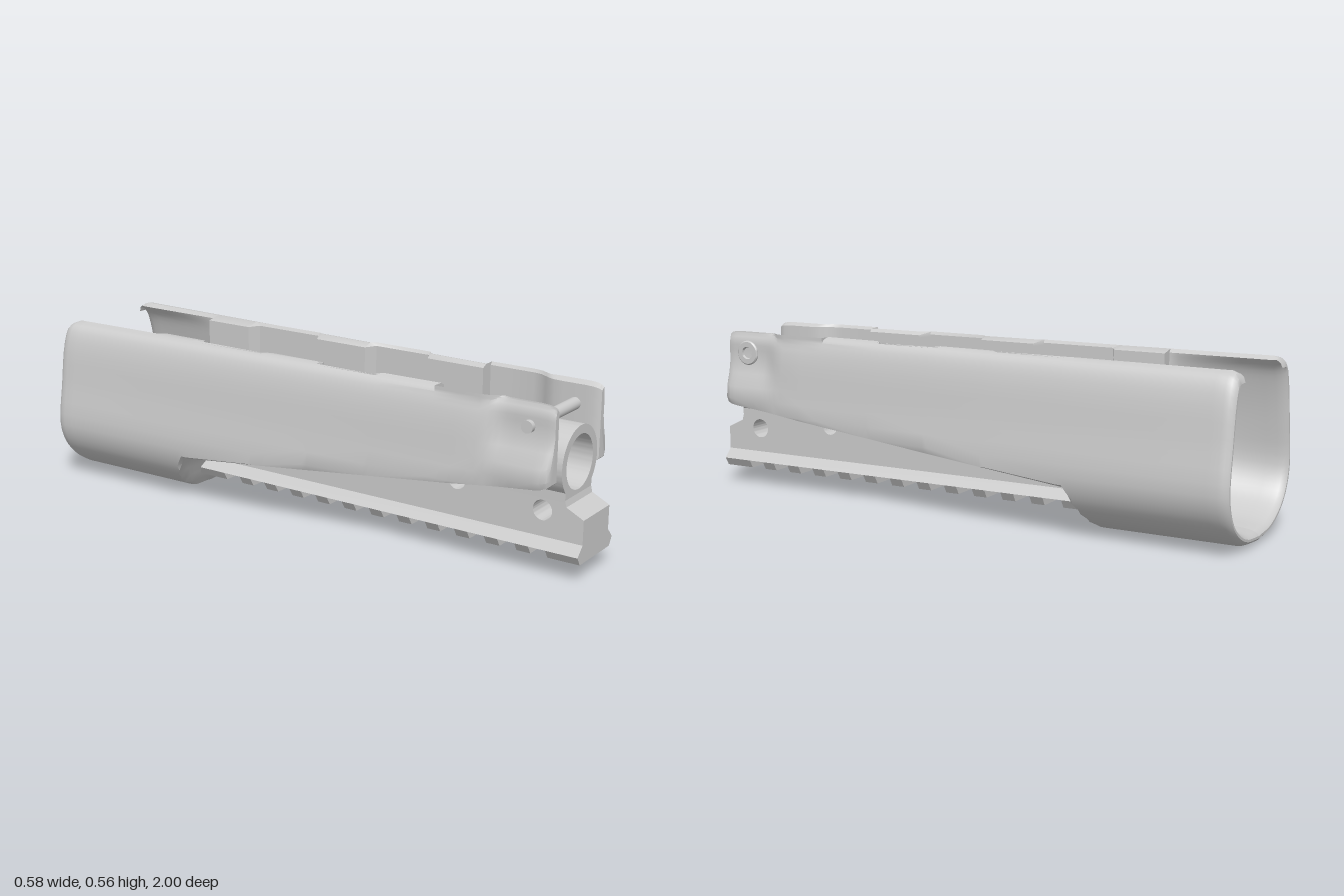
import * as THREE from 'three';
import { toCreasedNormals } from 'three/addons/utils/BufferGeometryUtils.js';

const N = 29, H = 14, TOP = 0.565;
const mat = new THREE.MeshStandardMaterial({ color: 0xcccccc, roughness: 0.7 });
const { lerp, smoothstep, clamp } = THREE.MathUtils;

const spline = (pts) => new THREE.CatmullRomCurve3(
  pts.map(([x, y]) => new THREE.Vector3(x, y, 0))).getPoints(N - 1);

// Half profiles, running from the top rim down to the centre line
const outerCurve = spline([[0.18, TOP], [0.222, 0.552], [0.249, 0.5], [0.272, 0.35],
  [0.291, 0.2], [0.265, 0.12], [0.21, 0.06], [0.12, 0.015], [0, 0]]);
const rearCavity = spline([[0.16, 0.553], [0.19, 0.52], [0.212, 0.46], [0.238, 0.33],
  [0.25, 0.2], [0.225, 0.13], [0.18, 0.085], [0.1, 0.05], [0, 0.04]]);
const deepCavity = spline([[0.16, 0.553], [0.16, 0.51], [0.165, 0.45], [0.18, 0.35],
  [0.172, 0.25], [0.145, 0.19], [0.1, 0.14], [0.05, 0.115], [0, 0.11]]);

// Height of the lower edge: a long slope, then a drop to the rear cuff
function lowerEdge(z) {
  if (z >= -0.44) return 0.165 + (z + 0.44) / 1.37 * 0.145;
  return 0.165 * (1 - smoothstep(-z, 0.43, 0.53));
}

// Closed half section: outer side going down, inner side coming back up
function section([z, kind, xi, pinch = 0]) {
  const s = 1 - 0.26 * (z + 1) / 1.75, yb = lowerEdge(z);
  const ear = smoothstep(z, 0.68, 0.78);
  const width = (p) => {
    const earX = 0.165 + 0.04 * (1 - smoothstep(p.y, 0.35, 0.46)) - 0.012 * smoothstep(p.y, 0.53, TOP);
    return lerp(p.x * s, earX, ear);
  };
  const edge = outerCurve.find((p) => p.y <= yb + 1e-6) || outerCurve[N - 1];
  const edgeX = width(edge);
  const outer = outerCurve.map((p, i) => {
    let x = width(p);
    if (p.y < yb) x = Math.min(p.x * s, edgeX) - 0.008;
    if (kind === 'ear') x = Math.max(x, xi);
    if (i < H) x = Math.max(x, xi + 0.008);
    return new THREE.Vector2(x, Math.max(p.y, yb));
  });
  const t = Math.sqrt(clamp((-0.62 - z) / 0.36, 0, 1));
  const inner = outer.map((_, i) => {
    if (kind === 'cuff') {
      const a = deepCavity[i], b = rearCavity[i];
      return new THREE.Vector2(lerp(a.x, b.x, t), lerp(a.y, b.y, t));
    }
    if (i <= H) return new THREE.Vector2(xi, lerp(0.555, 0.44, i / H));
    const u = (i - H) / (N - 1 - H);
    return kind === 'ear' ? new THREE.Vector2(xi, lerp(0.44, yb, u))
      : new THREE.Vector2(xi * (1 - u), 0.44);
  });
  // Rounded ends
  if (pinch) {
    outer.forEach((o, i) => {
      const n = inner[i];
      if (kind === 'cuff') {
        const m = o.clone().lerp(n, 0.5);
        o.lerp(m, pinch); n.lerp(m, pinch);
        const cap = TOP - 0.045 * pinch;
        o.y = Math.min(o.y, cap); n.y = Math.min(n.y, cap);
      } else {
        for (const p of [o, n]) {
          p.x = lerp(p.x, 0.155, pinch);
          p.y = lerp(p.y, 0.43, pinch * 0.22);
        }
      }
    });
  }
  return [...outer, ...inner.reverse()].map((p) => new THREE.Vector3(p.x, p.y, z));
}

function loftHalf(stations, side) {
  const rings = stations.map(section), pos = [], n = 2 * N;
  const ab = new THREE.Vector3(), ac = new THREE.Vector3();
  const tri = (a, b, c) => {
    if (ab.subVectors(b, a).cross(ac.subVectors(c, a)).length() < 1e-9) return;
    for (const p of side > 0 ? [a, b, c] : [a, c, b]) pos.push(side * p.x, p.y, p.z);
  };
  const quad = (a, b, c, d) => { tri(a, b, c); tri(a, c, d); };
  for (let j = 0; j < rings.length - 1; j++) {
    const A = rings[j], B = rings[j + 1];
    for (let i = 0; i < n; i++) {
      const k = (i + 1) % n;
      quad(A[i], A[k], B[k], B[i]);
    }
  }
  const F = rings[0], R = rings[rings.length - 1];
  for (let i = 0; i < N - 1; i++) {
    quad(F[i], F[n - 1 - i], F[n - 2 - i], F[i + 1]);
    quad(R[i], R[i + 1], R[n - 2 - i], R[n - 1 - i]);
  }
  const g = new THREE.BufferGeometry();
  g.setAttribute('position', new THREE.Float32BufferAttribute(pos, 3));
  return toCreasedNormals(g, 0.6);
}

const polygon = (pts) => new THREE.Shape(pts.map(([x, y]) => new THREE.Vector2(x, y)));
const hole = (x, y, r) => new THREE.Path().absarc(x, y, r, 0, Math.PI * 2, true);

// Extrude a front-facing shape from z0 to z1
function alongZ(shape, z0, z1) {
  const g = new THREE.ExtrudeGeometry(shape, { depth: z1 - z0, bevelEnabled: false, curveSegments: 40 });
  return toCreasedNormals(g.translate(0, 0, z0), 0.5);
}

export function createModel() {
  const model = new THREE.Group();
  const add = (name, geo, parent = model) => {
    const m = new THREE.Mesh(geo, mat);
    m.name = name;
    parent.add(m);
    return m;
  };

  // Shell: front ears, channel with two pockets per side, hollow rear cuff
  const stations = [[0.93, 'ear', 0.13, 0.45], [0.922, 'ear', 0.13, 0.2], [0.905, 'ear', 0.13, 0.05],
    [0.88, 'ear', 0.13], [0.8, 'ear', 0.13], [0.77, 'ear', 0.132], [0.75, 'ear', 0.138],
    [0.73, 'ear', 0.15], [0.71, 'ear', 0.162], [0.68, 'ear', 0.168], [0.6, 'ear', 0.168],
    [0.52, 'ear', 0.168], [0.52, 'mid', 0.12]];
  for (const [a, b] of [[0.31, 0.06], [-0.14, -0.44]])
    stations.push([a, 'mid', 0.12], [a - 0.02, 'mid', 0.16], [b + 0.02, 'mid', 0.16], [b, 'mid', 0.12]);
  for (const z of [-0.455, -0.47, -0.485, -0.5, -0.515, -0.53, -0.62]) stations.push([z, 'mid', 0.12]);
  for (const z of [-0.62, -0.63, -0.65, -0.7, -0.78, -0.86, -0.93, -0.965]) stations.push([z, 'cuff', 0.15]);
  stations.push([-0.982, 'cuff', 0.15, 0.15], [-0.994, 'cuff', 0.15, 0.45], [-1, 'cuff', 0.15, 0.8]);
  add('leftShell', loftHalf(stations, 1));
  add('rightShell', loftHalf(stations, -1));

  // Barrel ring joined to the rail web
  const ring = new THREE.Shape();
  ring.moveTo(-0.087, 0.245);
  ring.lineTo(0.087, 0.245);
  ring.absarc(0, 0.352, 0.117, -0.731, Math.PI + 0.731, false);
  ring.closePath();
  ring.holes.push(hole(0, 0.352, 0.088));
  add('barrelRing', alongZ(ring, 0.585, 0.935));
  const collar = new THREE.Shape().absarc(0, 0.352, 0.1, 0, Math.PI * 2, false);
  collar.holes.push(hole(0, 0.352, 0.088));
  add('barrelCollar', alongZ(collar, 0.51, 0.6));
  for (const x of [-0.085, 0, 0.085]) {
    const lug = add('collarLug', new THREE.BoxGeometry(0.05, 0.025, 0.08));
    lug.position.set(x, x ? 0.405 : 0.452, 0.55);
  }

  // Web between barrel and rail, with cross holes
  const web = polygon([[-0.5, 0.115], [1, 0.115], [1, 0.2], [0.94, 0.23], [0.935, 0.25],
    [0.6, 0.25], [0.6, 0.3], [-0.5, 0.3]]);
  web.holes.push(hole(0.86, 0.205, 0.033), hole(0.555, 0.24, 0.03));
  add('railWeb', alongZ(web, -0.087, 0.087).rotateY(-Math.PI / 2));

  // Dovetail rail and its teeth
  add('railBase', alongZ(polygon([[-0.117, 0.088], [0.117, 0.088], [0.087, 0.12], [-0.087, 0.12]]), -0.5, 1));
  const tooth = polygon([[-0.1, 0.06], [0.1, 0.06], [0.117, 0.088], [-0.117, 0.088]]);
  const teeth = new THREE.Group();
  teeth.name = 'railTeeth';
  model.add(teeth);
  add('frontTooth', alongZ(tooth, 0.89, 1), teeth);
  for (let i = 0; i < 11; i++) {
    const z = 0.807 - i * 0.1085;
    add('tooth', alongZ(tooth, z - 0.024, z + 0.024), teeth);
  }
  add('rearTooth', alongZ(tooth, -0.5, -0.37), teeth);

  // Cross pin through the ears with a recessed head
  const pin = new THREE.Group();
  pin.name = 'crossPin';
  pin.position.set(0, 0.491, 0.845);
  model.add(pin);
  const rod = add('pinRod', new THREE.CylinderGeometry(0.02, 0.02, 0.345, 24), pin);
  rod.rotation.z = Math.PI / 2;
  rod.position.x = -0.009;
  const head = [[0, 0.157], [0.043, 0.157], [0.043, 0.169], [0.039, 0.173], [0.022, 0.173],
    [0.019, 0.165], [0, 0.165]].map(([r, y]) => new THREE.Vector2(r, y));
  const headMesh = add('pinHead', toCreasedNormals(new THREE.LatheGeometry(head, 32), 0.5), pin);
  headMesh.rotation.z = -Math.PI / 2;

  return model;
}
